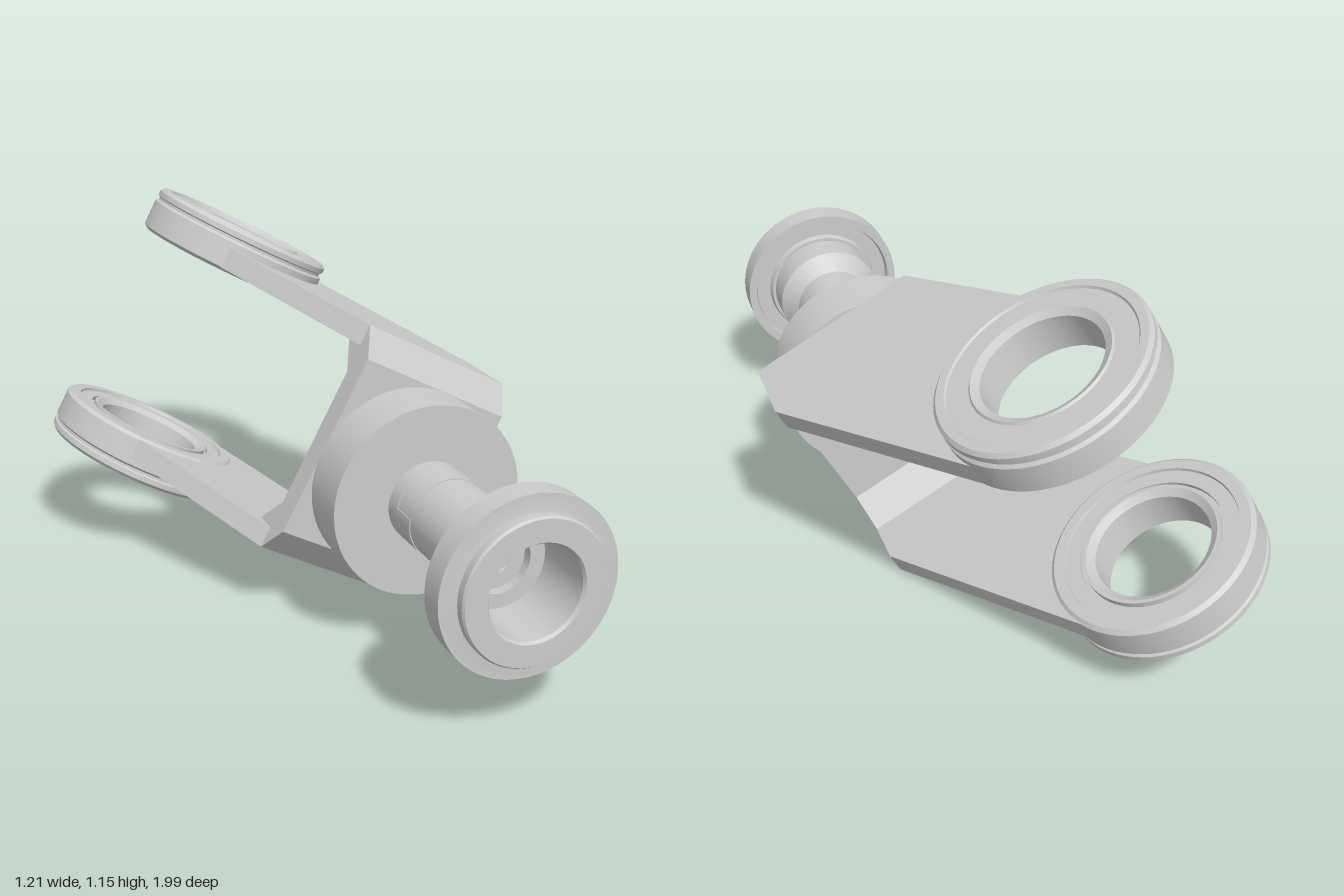
import * as THREE from 'three';
import { toCreasedNormals } from 'three/addons/utils/BufferGeometryUtils.js';

const mat = new THREE.MeshStandardMaterial({ color: 0xcccccc });
const TILT = -THREE.MathUtils.degToRad(28);
const ARM_IN = 0.3, ARM_OUT = 0.365, HALF = 0.25;
const RING = { x: -0.41, z: -0.7, r: 0.297 };

function part(name, geometry, parent) {
  const mesh = new THREE.Mesh(toCreasedNormals(geometry, 0.5), mat);
  mesh.name = name;
  parent.add(mesh);
  return mesh;
}

const lathe = (pts, n = 72) =>
  new THREE.LatheGeometry(pts.map(([r, h]) => new THREE.Vector2(r, h)), n);

// Arm outline in plan: straight root, slanted sides, round end with a hole
function armGeometry() {
  const s = new THREE.Shape();
  s.moveTo(-HALF, 0.07);
  s.lineTo(HALF, 0.07);
  s.lineTo(HALF, -0.15);
  s.absarc(RING.x, RING.z, RING.r - 0.004, -Math.PI / 6, -Math.PI * 1.355, true);
  const hole = new THREE.Path();
  hole.absarc(RING.x, RING.z, 0.21, 0, Math.PI * 2, false);
  s.holes.push(hole);
  const g = new THREE.ExtrudeGeometry(s, { depth: ARM_OUT - ARM_IN, bevelEnabled: false, curveSegments: 40 });
  return g.rotateX(Math.PI / 2);
}

// U-shaped yoke section (z, height) with chamfered outer and inner corners
function yokeGeometry() {
  const half = [[0.15, 0.28], [0.07, ARM_OUT], [0.04, ARM_OUT], [-0.01, ARM_IN], [0.07, 0.215]];
  const pts = [...half, ...half.map(([z, h]) => [z, -h]).reverse()];
  const s = new THREE.Shape(pts.map(p => new THREE.Vector2(...p)));
  const g = new THREE.ExtrudeGeometry(s, { depth: HALF * 2, bevelEnabled: false });
  return g.rotateY(-Math.PI / 2).translate(HALF, 0, 0);
}

// Eye ring: chamfered bore, recessed inner face, stepped outer rim
function ringGeometry() {
  return lathe([
    [0.168, 0.31], [0.19, 0.295], [0.2, 0.295], [0.2, 0.312], [0.25, 0.312], [0.255, 0.292],
    [0.285, 0.292], [RING.r, 0.302], [RING.r, 0.385], [0.288, 0.392], [0.288, 0.4],
    [0.295, 0.404], [0.295, 0.42], [0.285, 0.43], [0.262, 0.43], [0.258, 0.424], [0.195, 0.424],
    [0.19, 0.43], [0.168, 0.418], [0.168, 0.31],
  ]);
}

// Segment of a thin sleeve, extruded along the shaft
function sleeveGeometry(r0, r1, a0, a1, z0, z1) {
  const s = new THREE.Shape();
  s.absarc(0, 0, r1, a0, a1, false);
  s.absarc(0, 0, r0, a1, a0, true);
  return new THREE.ExtrudeGeometry(s, { depth: z1 - z0, bevelEnabled: false, curveSegments: 32 }).translate(0, 0, z0);
}

export function createModel() {
  const model = new THREE.Group();
  model.name = 'forkJoint';
  const body = new THREE.Group();
  body.name = 'tiltedBody';
  body.position.set(0.21, 0.4425, 0);
  body.rotation.z = TILT;
  model.add(body);

  // Fork
  part('yokePlate', yokeGeometry(), body);
  for (const side of [1, -1]) {
    const label = side > 0 ? 'upper' : 'lower';
    part(label + 'Arm', armGeometry(), body).position.y = side > 0 ? ARM_OUT : -ARM_IN;
    const ring = part(label + 'EyeRing', ringGeometry(), body);
    ring.position.set(RING.x, 0, RING.z);
    if (side < 0) ring.rotation.x = Math.PI;
  }

  // Neck and large disc behind the shaft
  part('neck', lathe([[0, 0.14], [0.175, 0.14], [0.175, 0.18], [0.165, 0.185], [0.165, 0.22]]).rotateX(Math.PI / 2), body);
  part('disc', lathe([[0, 0.212], [0.287, 0.212], [0.287, 0.377], [0, 0.377]], 96).rotateX(Math.PI / 2), body);

  // Shaft with shoulder, grooved flange, front lip and stepped bore
  part('shaft', lathe([
    [0.119, 0.36], [0.119, 0.742], [0.165, 0.79], [0.165, 0.882], [0.175, 0.882], [0.18, 0.9], [0.225, 0.9],
    [0.23, 0.882], [0.255, 0.882], [0.255, 0.957], [0.214, 0.957], [0.2, 0.96], [0.207, 0.966],
    [0.207, 0.99], [0.202, 0.997], [0.139, 0.997], [0.133, 0.988], [0.133, 0.8],
    [0.09, 0.8], [0.09, 0.77], [0.05, 0.77], [0.045, 0.75], [0, 0.725],
  ]).rotateX(Math.PI / 2), body);

  // Sleeve on the shaft, notched on two opposite sides
  part('sleeve', lathe([[0.115, 0.37], [0.122, 0.37], [0.122, 0.43], [0.115, 0.43]]).rotateX(Math.PI / 2), body);
  const notch = 0.32;
  for (const start of [0, Math.PI]) {
    part('sleeveJaw', sleeveGeometry(0.115, 0.122, start + notch, start + Math.PI - notch, 0.43, 0.512), body);
  }
  return model;
}
